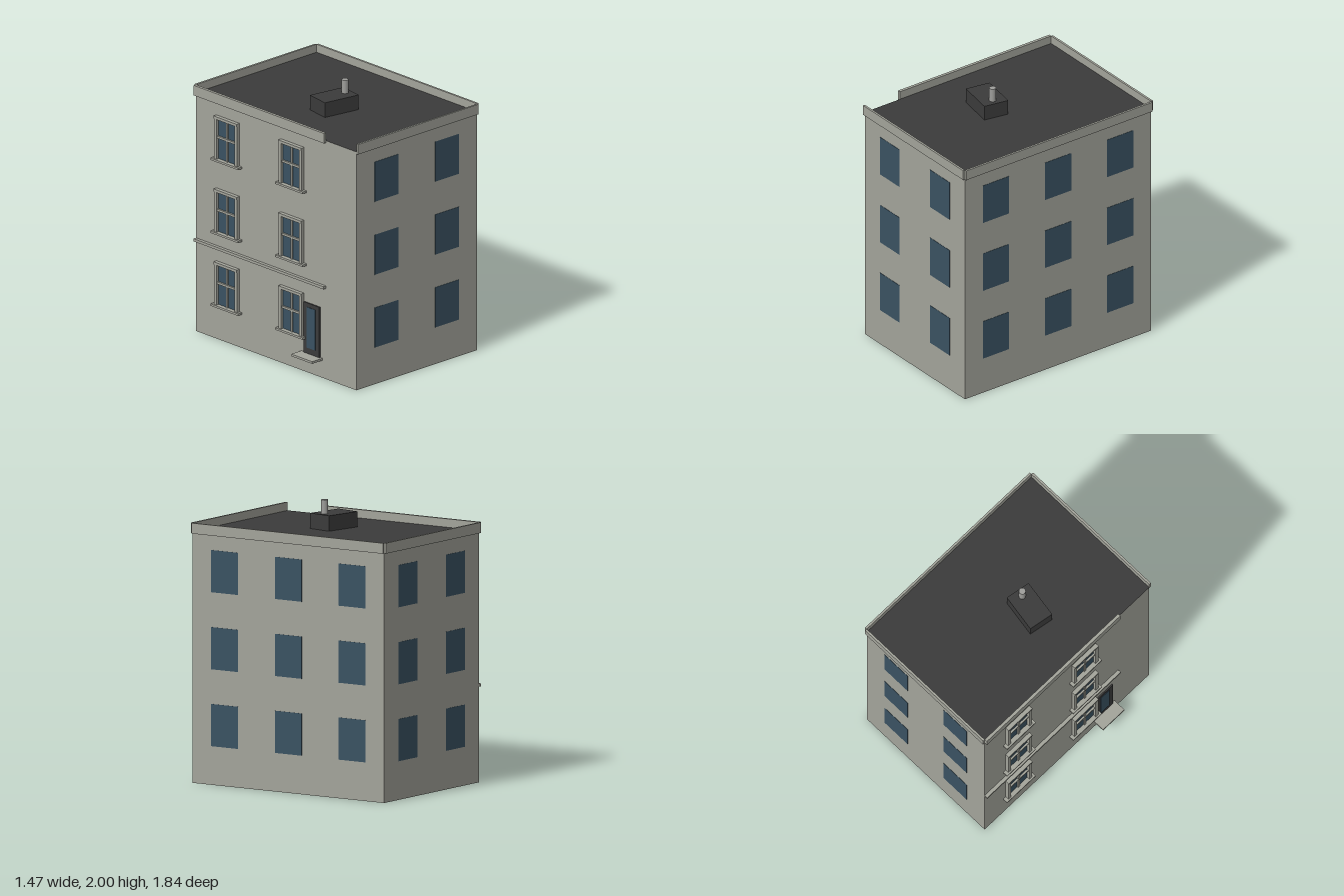
import * as THREE from 'three';

const mat = (name, color) => Object.assign(new THREE.MeshStandardMaterial({ color }), { name });

export function createModel() {
  const stone = mat('stone', 0xa3a49b);
  const glass = mat('glass', 0x3a5262);
  const dark = mat('darkRoof', 0x3b3b3b);
  const metal = mat('ventMetal', 0x9f9f9c);

  const W = 1.17, D = 1.638, ROOF = 1.79;
  const hw = W / 2, hd = D / 2;
  const floors = [0.425, 0.972, 1.52];

  const model = new THREE.Group();
  model.name = 'apartmentBuilding';
  const house = new THREE.Group();
  house.name = 'building';
  house.rotation.y = 0.168;
  model.add(house);

  // Box given by its min and max corners
  function box(parent, name, material, x0, x1, y0, y1, z0, z1) {
    const mesh = new THREE.Mesh(new THREE.BoxGeometry(x1 - x0, y1 - y0, z1 - z0), material);
    mesh.position.set((x0 + x1) / 2, (y0 + y1) / 2, (z0 + z1) / 2);
    mesh.name = name;
    parent.add(mesh);
    return mesh;
  }

  // Main block: stone sides, dark roof and underside
  box(house, 'walls', [stone, stone, dark, dark, stone, stone], -hw, hw, 0, ROOF, -hd, hd);

  // Cornice plates; the entrance side stops short of the front corner
  const T = 0.016, C0 = 1.775, C1 = 1.85, END = 0.51;
  box(house, 'frontCornice', stone, -hw, hw, C0, C1, hd, hd + T);
  box(house, 'backCornice', stone, -hw, hw, C0, C1, -hd - T, -hd);
  box(house, 'leftCornice', stone, hw, hw + T, C0, C1, -hd, hd);
  box(house, 'entranceCornice', stone, -hw - 0.022, -hw, C0, C1, -hd, END);
  box(house, 'beltCourse', stone, -hw - 0.026, -hw, 0.68, 0.7, -hd, END);

  // Plain windows on three sides
  const e = 0.002, half = 0.115;
  for (const y of floors) {
    for (const x of [-0.293, 0.293]) {
      box(house, 'frontWindow', glass, x - half, x + half, y - 0.15, y + 0.15, hd - e, hd + e);
      box(house, 'backWindow', glass, x - half, x + half, y - 0.15, y + 0.15, -hd - e, -hd + e);
    }
    for (const z of [-0.546, 0, 0.546])
      box(house, 'sideWindow', glass, hw - e, hw + e, y - 0.15, y + 0.15, z - half, z + half);
  }

  // Framed sash windows on the entrance side
  function sashWindow(y, z) {
    const g = new THREE.Group();
    g.name = 'sashWindow';
    g.position.set(-hw, y, z);
    house.add(g);
    box(g, 'pane', glass, -0.004, 0.002, -0.16, 0.155, -0.1, 0.1);
    box(g, 'sill', stone, -0.038, 0, -0.175, -0.16, -0.142, 0.142);
    box(g, 'head', stone, -0.03, 0, 0.14, 0.16, -0.118, 0.118);
    for (const s of [-1, 1])
      box(g, 'jamb', stone, -0.026, 0, -0.16, 0.14, s * 0.105 - 0.013, s * 0.105 + 0.013);
    box(g, 'meetingRail', stone, -0.018, 0, -0.004, 0.012, -0.092, 0.092);
    box(g, 'mullion', stone, -0.014, 0, -0.16, 0.14, -0.008, 0.008);
  }
  for (const y of floors) for (const z of [-0.491, 0.168]) sashWindow(y, z);

  // Entrance door with glazed panel and step
  box(house, 'door', dark, -hw - 0.01, -hw, 0.145, 0.525, 0.287, 0.45);
  box(house, 'doorGlass', glass, -hw - 0.013, -hw - 0.009, 0.19, 0.495, 0.325, 0.41);
  box(house, 'doorStep', stone, -hw - 0.1, -hw, 0.13, 0.146, 0.26, 0.472);

  // Rooftop housing and vent pipe
  box(model, 'roofHousing', dark, -0.24, 0.046, ROOF - 0.01, 1.9, 0.022, 0.21);
  const pipe = new THREE.Mesh(new THREE.CylinderGeometry(0.025, 0.025, 0.11, 10), metal);
  pipe.name = 'ventPipe';
  pipe.position.set(-0.007, 1.945, 0.118);
  model.add(pipe);

  return model;
}
